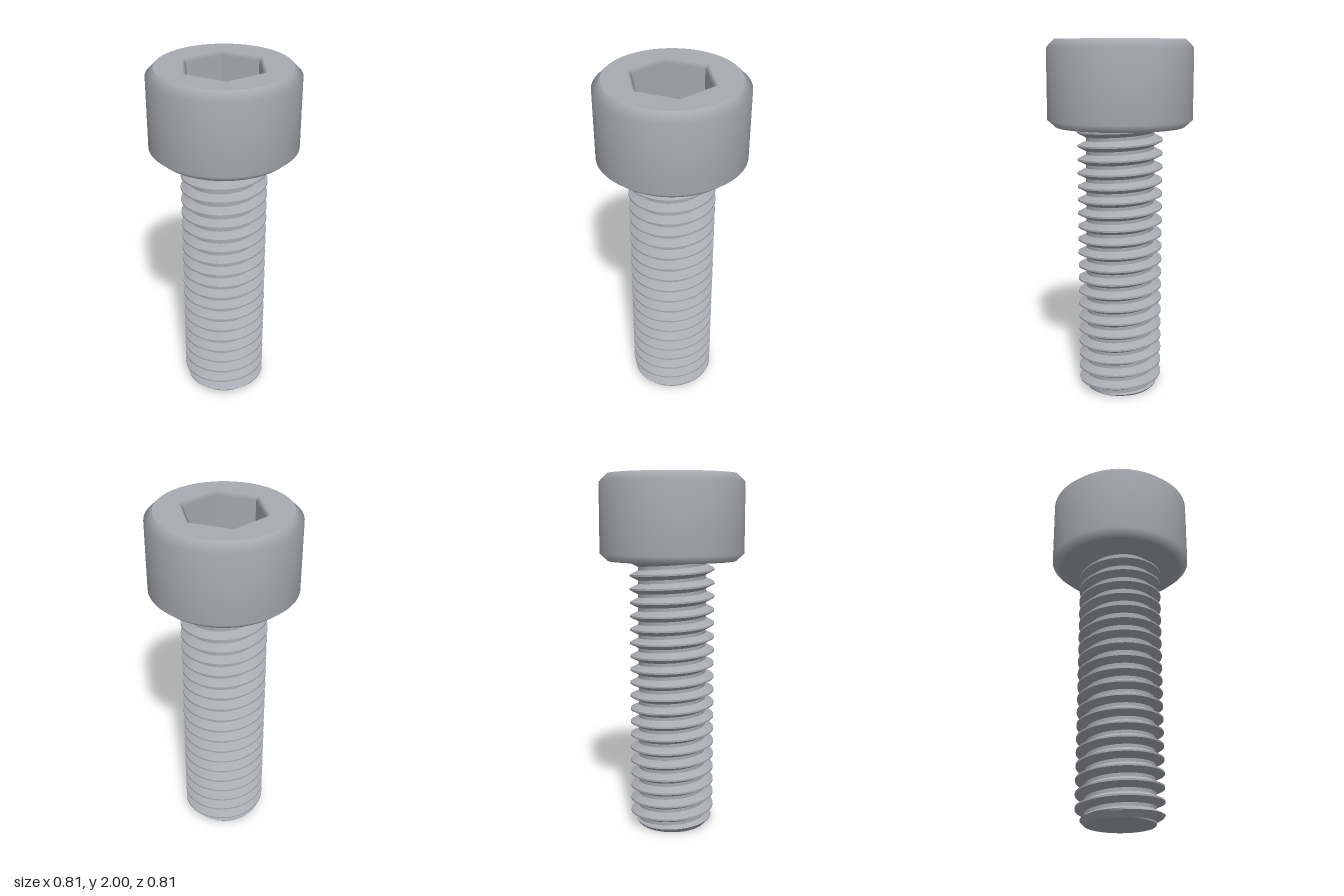
import * as THREE from 'three';
import { toCreasedNormals } from 'three/addons/utils/BufferGeometryUtils.js';

const SEG = 72;
const HEAD_Y = 1.526, TOP_Y = 2, HEAD_R = 0.403, FACE_R = 0.358;
const PITCH = 0.0762, MAJOR = 0.238, MINOR = 0.191, TIP_R = 0.19, CREST_Y = 0.053;

// Hexagonal band facing inward; the upper normals may lean up to soften the rim
function hexBand(rTop, yTop, rBottom, yBottom, softRim) {
  const pos = [], nor = [];
  const corner = (r, y, i) => [r * Math.cos(i * Math.PI / 3), y, -r * Math.sin(i * Math.PI / 3)];
  for (let i = 0; i < 6; i++) {
    const t0 = corner(rTop, yTop, i), t1 = corner(rTop, yTop, i + 1);
    const b0 = corner(rBottom, yBottom, i), b1 = corner(rBottom, yBottom, i + 1);
    const mid = (i + 0.5) * Math.PI / 3;
    const inward = [-Math.cos(mid), 0, Math.sin(mid)];
    const rim = softRim ? [0, 1, 0] : inward;
    pos.push(...b0, ...t1, ...b1, ...b0, ...t0, ...t1);
    nor.push(...inward, ...rim, ...inward, ...inward, ...rim, ...rim);
  }
  const g = new THREE.BufferGeometry();
  g.setAttribute('position', new THREE.Float32BufferAttribute(pos, 3));
  g.setAttribute('normal', new THREE.Float32BufferAttribute(nor, 3));
  return g;
}

// Right-handed thread: a trapezoid profile swept up a helix, trimmed at both ends
function threadGeometry() {
  // [offset in pitches, height 0 = root .. 1 = crest]
  const profile = [[-0.0625, 1], [0.0625, 1], [0.167, 2 / 3], [0.271, 1 / 3], [0.375, 0],
    [0.625, 0], [0.729, 1 / 3], [0.833, 2 / 3]];
  const rows = [];
  for (let k = -2; k <= Math.ceil(HEAD_Y / PITCH); k++) {
    for (const [o, h] of profile) rows.push([CREST_Y + (k + o) * PITCH, MINOR + (MAJOR - MINOR) * h]);
  }
  const pos = [], index = [];
  for (const [y0, r0] of rows) {
    for (let i = 0; i <= SEG; i++) {
      const a = i / SEG * Math.PI * 2;
      const y = THREE.MathUtils.clamp(y0 + i / SEG * PITCH, 0, HEAD_Y);
      const r = Math.min(r0, TIP_R + y);
      pos.push(r * Math.cos(a), y, -r * Math.sin(a));
    }
  }
  const addFace = (...f) => {
    const ys = f.map((v) => pos[v * 3 + 1]);
    if (Math.max(...ys) > 0 && Math.min(...ys) < HEAD_Y) index.push(...f);
  };
  for (let j = 0; j < rows.length - 1; j++) {
    for (let i = 0; i < SEG; i++) {
      const a = j * (SEG + 1) + i, b = a + SEG + 1;
      addFace(a, a + 1, b + 1);
      addFace(a, b + 1, b);
    }
  }
  const g = new THREE.BufferGeometry();
  g.setAttribute('position', new THREE.Float32BufferAttribute(pos, 3));
  g.setIndex(index);
  return toCreasedNormals(g, 0.6);
}

export function createModel() {
  const model = new THREE.Group();
  model.name = 'socketHeadScrew';
  const steel = new THREE.MeshStandardMaterial({ color: 0xa8abb2 });
  steel.name = 'steel';
  const add = (parent, name, geometry) => {
    const mesh = new THREE.Mesh(geometry, steel);
    mesh.name = name;
    parent.add(mesh);
  };

  // Head: softly shaded chamfered side, sharp flat faces
  const head = new THREE.Group();
  head.name = 'head';
  const side = [[FACE_R, HEAD_Y], [HEAD_R, HEAD_Y + 0.04], [HEAD_R, TOP_Y - 0.045], [FACE_R, TOP_Y]];
  add(head, 'headSide', new THREE.LatheGeometry(side.map(([x, y]) => new THREE.Vector2(x, y)), SEG));
  add(head, 'headUnderside', new THREE.RingGeometry(0.15, FACE_R, SEG).rotateX(Math.PI / 2).translate(0, HEAD_Y, 0));

  // Top face with hexagonal opening
  const rimR = 0.242, hexR = 0.22, floorY = 1.76;
  const face = new THREE.Shape().absarc(0, 0, FACE_R, 0, Math.PI * 2);
  const hexPoints = [];
  for (let i = 0; i < 6; i++) {
    hexPoints.push(new THREE.Vector2(rimR * Math.cos(i * Math.PI / 3), rimR * Math.sin(i * Math.PI / 3)));
  }
  face.holes.push(new THREE.Path(hexPoints));
  add(head, 'headTop', new THREE.ShapeGeometry(face, SEG).rotateX(-Math.PI / 2).translate(0, TOP_Y, 0));

  // Hex socket
  add(head, 'socketChamfer', hexBand(rimR, TOP_Y, hexR, TOP_Y - 0.02, true));
  add(head, 'socketWalls', hexBand(hexR, TOP_Y - 0.02, hexR, floorY, false));
  add(head, 'socketFloor', new THREE.CircleGeometry(hexR, 6).rotateX(-Math.PI / 2).translate(0, floorY, 0));
  model.add(head);

  // Threaded shank
  const shank = new THREE.Group();
  shank.name = 'shank';
  add(shank, 'thread', threadGeometry());
  add(shank, 'shankTip', new THREE.CircleGeometry(TIP_R, SEG).rotateX(Math.PI / 2));
  model.add(shank);

  return model;
}
